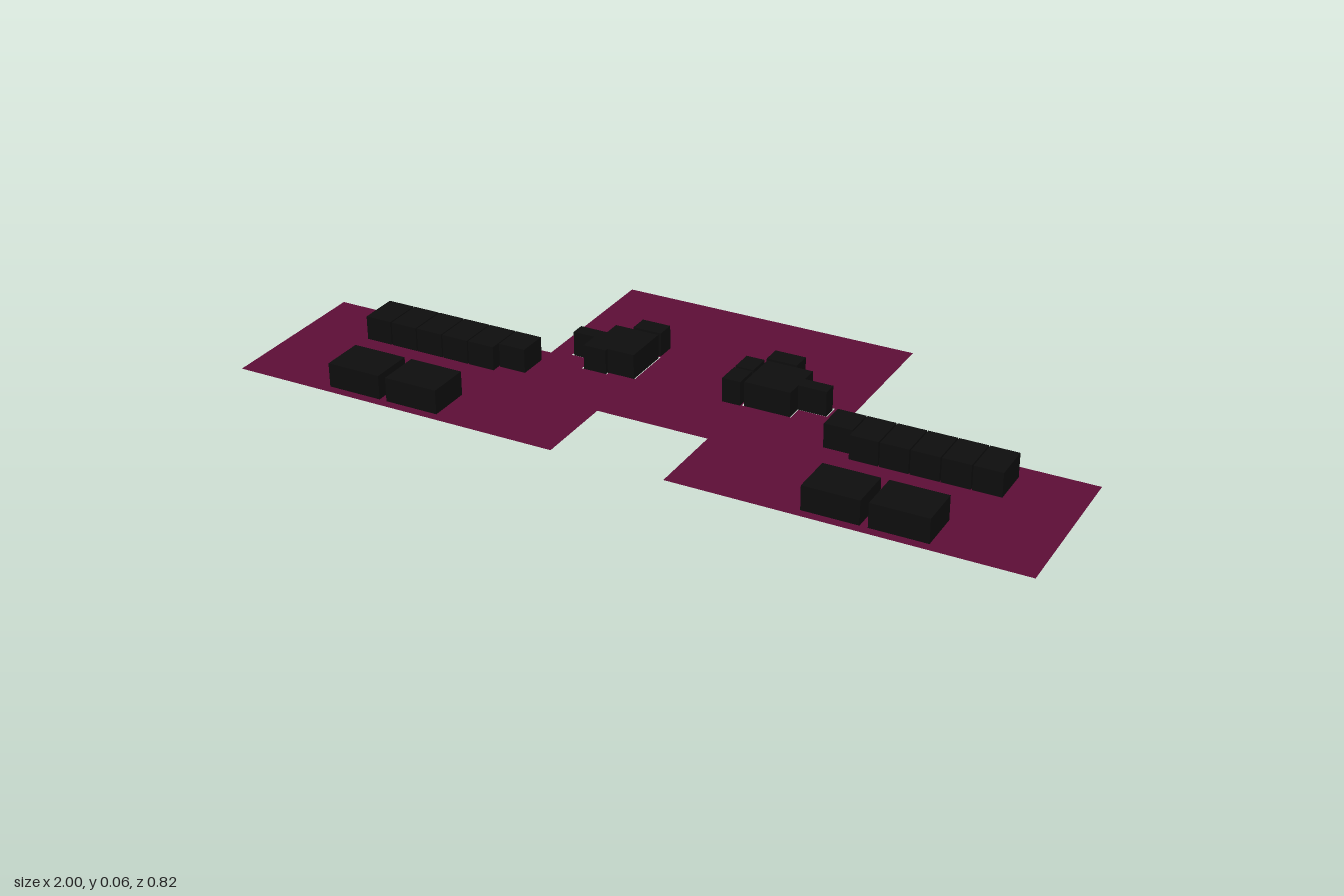
import * as THREE from 'three';

const HEIGHT = 0.063;
const FLOOR_Y = 0.002;

export function createModel() {
  const group = new THREE.Group();
  const floorMaterial = new THREE.MeshStandardMaterial({ color: 0x5c0d36, side: THREE.DoubleSide });
  const blockMaterial = new THREE.MeshStandardMaterial({ color: 0x0d0d0d });

  // Plan coordinates are [x, z]
  const points = (plan) => plan.map(([x, z]) => new THREE.Vector2(x, -z));

  const addBlock = (name, x0, x1, z0, z1) => {
    const geometry = new THREE.BoxGeometry(x1 - x0, HEIGHT, z1 - z0);
    const mesh = new THREE.Mesh(geometry, blockMaterial);
    mesh.name = name;
    mesh.position.set((x0 + x1) / 2, HEIGHT / 2, (z0 + z1) / 2);
    group.add(mesh);
  };

  // Thin stepped floor with narrow clearances around the central clusters
  const floorShape = new THREE.Shape(points([
    [-1, 0.41], [-0.143, 0.41], [-0.143, 0.2], [0.143, 0.2], [0.143, 0.41], [1, 0.41],
    [1, -0.006], [0.387, -0.006], [0.387, -0.41], [-0.39, -0.41], [-0.39, -0.006], [-1, -0.006],
  ]));
  floorShape.holes.push(
    new THREE.Path(points([
      [-0.339, -0.063], [-0.267, -0.063], [-0.267, -0.107], [-0.143, -0.107], [-0.143, 0.022],
      [-0.214, 0.022], [-0.214, 0.031], [-0.282, 0.031], [-0.282, -0.019], [-0.339, -0.019],
    ])),
    new THREE.Path(points([
      [0.14, -0.107], [0.266, -0.107], [0.266, -0.063], [0.338, -0.063],
      [0.338, -0.019], [0.266, -0.019], [0.266, 0.022], [0.14, 0.022],
    ])),
  );
  const floor = new THREE.Mesh(new THREE.ShapeGeometry(floorShape).rotateX(-Math.PI / 2), floorMaterial);
  floor.name = 'floor';
  floor.position.y = FLOOR_Y;
  group.add(floor);

  // Mirrored wings: a row of six blocks (the innermost is shallower) and two front blocks
  for (const side of [-1, 1]) {
    const mirrored = (name, a, b, z0, z1) =>
      addBlock(name, Math.min(side * a, side * b), Math.max(side * a, side * b), z0, z1);
    for (let i = 0; i < 6; i++) {
      const x = 0.39 + i * 0.073;
      mirrored('rowBlock', x, x + 0.07, 0.038, i === 0 ? 0.115 : 0.138);
    }
    mirrored('frontBlock', 0.462, 0.6, 0.278, 0.387);
    mirrored('frontBlock', 0.619, 0.759, 0.278, 0.387);
  }

  // Right central cluster
  addBlock('clusterBlock', -0.263, -0.147, -0.103, 0.019);
  addBlock('clusterCorner', -0.278, -0.218, -0.03, 0.028);
  addBlock('clusterArm', -0.335, -0.262, -0.059, -0.023);
  addBlock('clusterBackBlock', -0.22, -0.145, -0.16, -0.112);

  // Left central cluster
  addBlock('clusterBlock', 0.144, 0.262, -0.103, 0.019);
  addBlock('clusterArm', 0.261, 0.334, -0.059, -0.023);
  addBlock('clusterBackBlock', 0.138, 0.217, -0.16, -0.112);
  addBlock('clusterSideBlock', 0.09, 0.137, -0.103, -0.043);
  addBlock('clusterSideBlock', 0.09, 0.137, -0.037, 0.025);

  return group;
}
